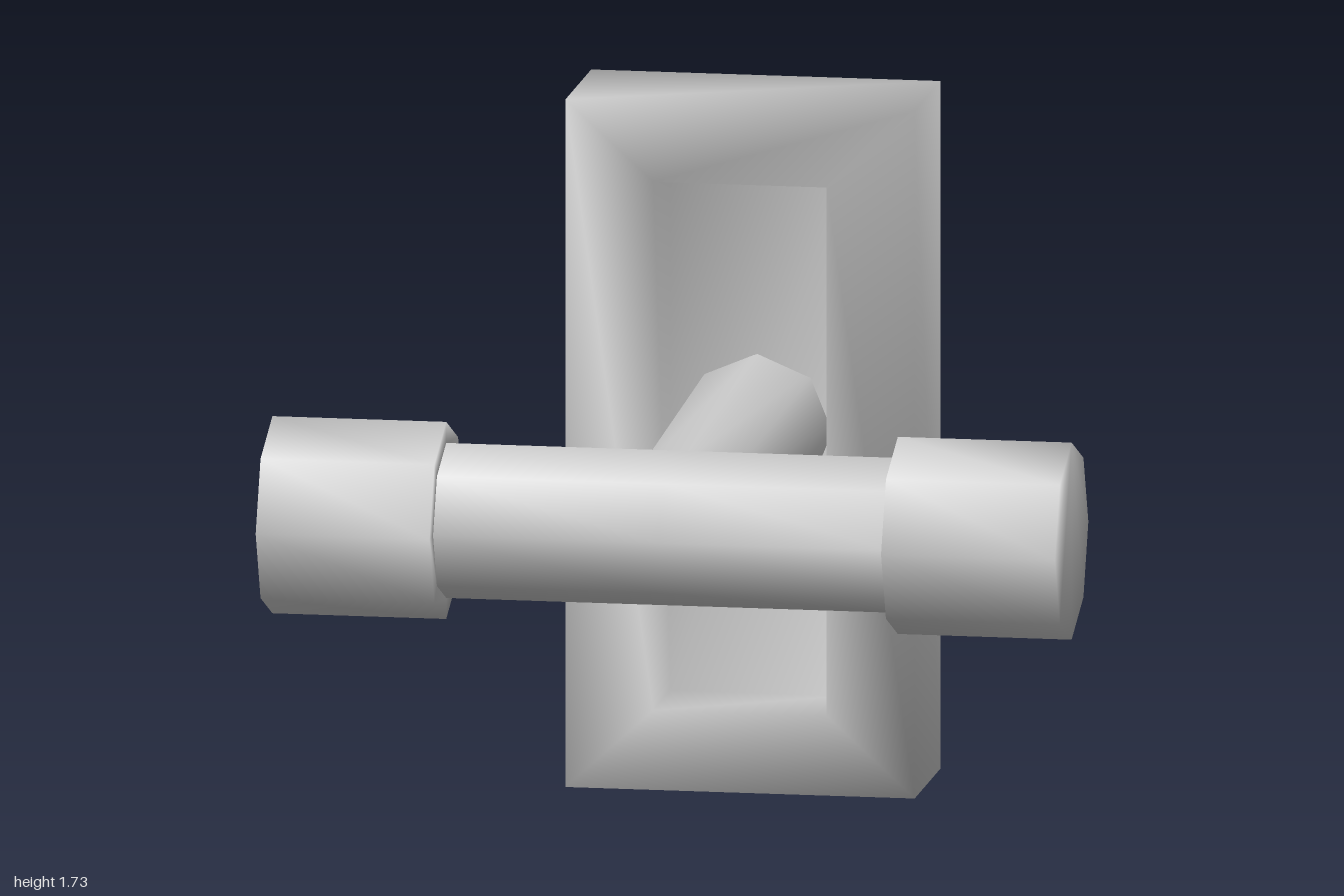
import * as THREE from 'three';

const MID_Y = 0.865; // height of the handle axis
const BAR_Z = 0.57;  // depth of the crossbar axis

const material = new THREE.MeshStandardMaterial({ color: 0xcccccc, side: THREE.DoubleSide });

// Skin a list of equal-sized closed loops, sharing vertices for smooth normals
function loft(name, loops, { capStart = false, capEnd = false } = {}) {
  const n = loops[0].length;
  const index = [];
  for (let i = 0; i < loops.length - 1; i++) {
    for (let j = 0; j < n; j++) {
      const k = (j + 1) % n;
      const a = i * n + j, b = i * n + k, c = b + n, d = a + n;
      index.push(a, b, c, a, c, d);
    }
  }
  const last = (loops.length - 1) * n;
  for (let j = 1; j < n - 1; j++) {
    if (capStart) index.push(0, j + 1, j);
    if (capEnd) index.push(last, last + j, last + j + 1);
  }
  const geometry = new THREE.BufferGeometry();
  geometry.setAttribute('position', new THREE.Float32BufferAttribute(loops.flat(2), 3));
  geometry.setIndex(index);
  geometry.computeVertexNormals();
  const mesh = new THREE.Mesh(geometry, material);
  mesh.name = name;
  return mesh;
}

// Eight (cos, sin) pairs with a corner on each axis
const octagon = Array.from({ length: 8 }, (_, j) => {
  const t = (j * Math.PI) / 4;
  return [Math.cos(t), Math.sin(t)];
});

// Octagon across x; the rear ridge is pushed back a little
const barRing = (x, r, ridge = 0) =>
  octagon.map(([c, s], j) => [x, MID_Y + r * c, BAR_Z + r * s - (j === 6 ? ridge : 0)]);

// Octagon across z for the stem
const stemRing = (z, rx, ry) => octagon.map(([c, s]) => [rx * c, MID_Y + ry * s, z]);

// Upright rectangle across z
const rect = (z, w, y0, y1) => [[-w, y0, z], [w, y0, z], [w, y1, z], [-w, y1, z]];

export function createModel() {
  const group = new THREE.Group();
  group.name = 'handle';

  // Backplate: open at the back, with a rectangular recess in the front
  group.add(loft('backplate', [
    rect(-0.82, 0.437, 0, 1.73),
    rect(-0.437, 0.437, 0, 1.73),
    rect(-0.437, 0.217, 0.2, 1.53),
    rect(-0.695, 0.217, 0.2, 1.53),
  ], { capEnd: true }));

  // Tapered stem through the recess floor, open at the back
  group.add(loft('stem', [
    stemRing(-0.823, 0.19, 0.194),
    stemRing(0.44, 0.167, 0.138),
  ]));

  // Crossbar
  group.add(loft('crossbar', [
    barRing(-0.58, 0.195, 0.01),
    barRing(0, 0.195),
    barRing(0.58, 0.195, 0.01),
  ]));

  // Thicker grips with a shoulder and a closed outer end
  for (const side of [-1, 1]) {
    const loops = [
      barRing(side * 0.565, 0.195, 0.01),
      barRing(side * 0.565, 0.248, 0.012),
      barRing(side, 0.248),
    ];
    if (side < 0) loops.reverse();
    group.add(loft(side > 0 ? 'leftGrip' : 'rightGrip', loops,
      { capStart: side < 0, capEnd: side > 0 }));
  }

  return group;
}
